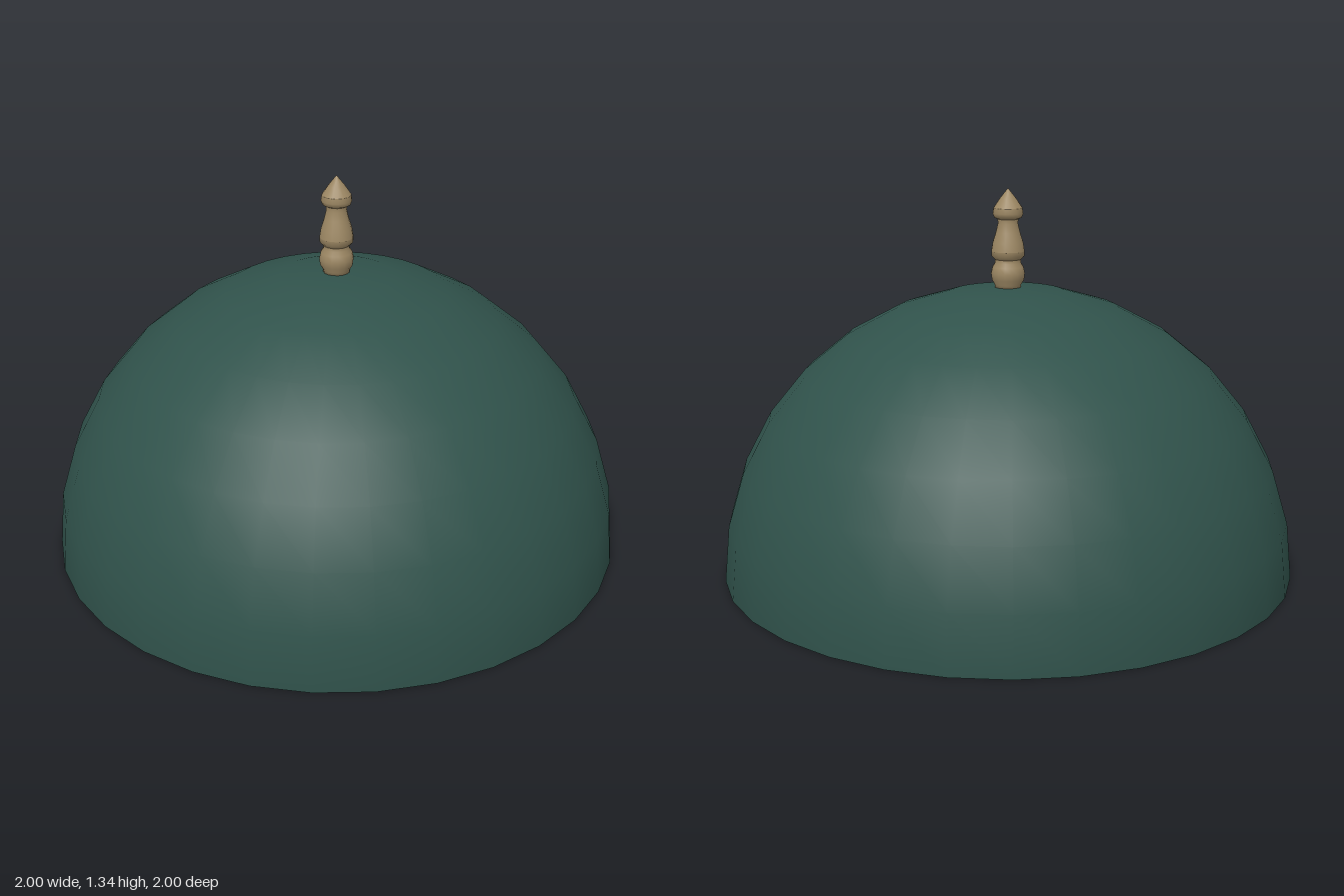
import * as THREE from 'three';

export function createModel() {
  const model = new THREE.Group();
  const green = new THREE.MeshStandardMaterial({ color: 0x30524b, side: THREE.DoubleSide });
  green.name = 'dark green';
  const brass = new THREE.MeshStandardMaterial({ color: 0x9c8763 });
  brass.name = 'dull brass';

  // Open hemispherical shell
  const dome = new THREE.Mesh(
    new THREE.SphereGeometry(1, 32, 8, 0, Math.PI * 2, 0, Math.PI / 2), green);
  dome.name = 'dome';
  model.add(dome);

  // Turned finial: each run of [radius, height] points is smooth, with a sharp edge between runs
  const finial = new THREE.Group();
  finial.name = 'finial';
  const runs = {
    finialBase: [[0, 0.99], [0.045, 0.99], [0.046, 1.005], [0.056, 1.022], [0.059, 1.045], [0.054, 1.066], [0.045, 1.08], [0.045, 1.092]],
    finialCollar: [[0.045, 1.092], [0.057, 1.104], [0.058, 1.12]],
    finialStem: [[0.058, 1.12], [0.053, 1.15], [0.042, 1.185], [0.035, 1.215], [0.036, 1.23]],
    finialRim: [[0.036, 1.23], [0.048, 1.236], [0.053, 1.25], [0.05, 1.268]],
    finialTip: [[0.05, 1.268], [0.028, 1.3], [0, 1.335]],
  };
  for (const [name, points] of Object.entries(runs)) {
    const profile = points.map(([r, y]) => new THREE.Vector2(r, y));
    const part = new THREE.Mesh(new THREE.LatheGeometry(profile, 16), brass);
    part.name = name;
    finial.add(part);
  }
  model.add(finial);
  return model;
}
